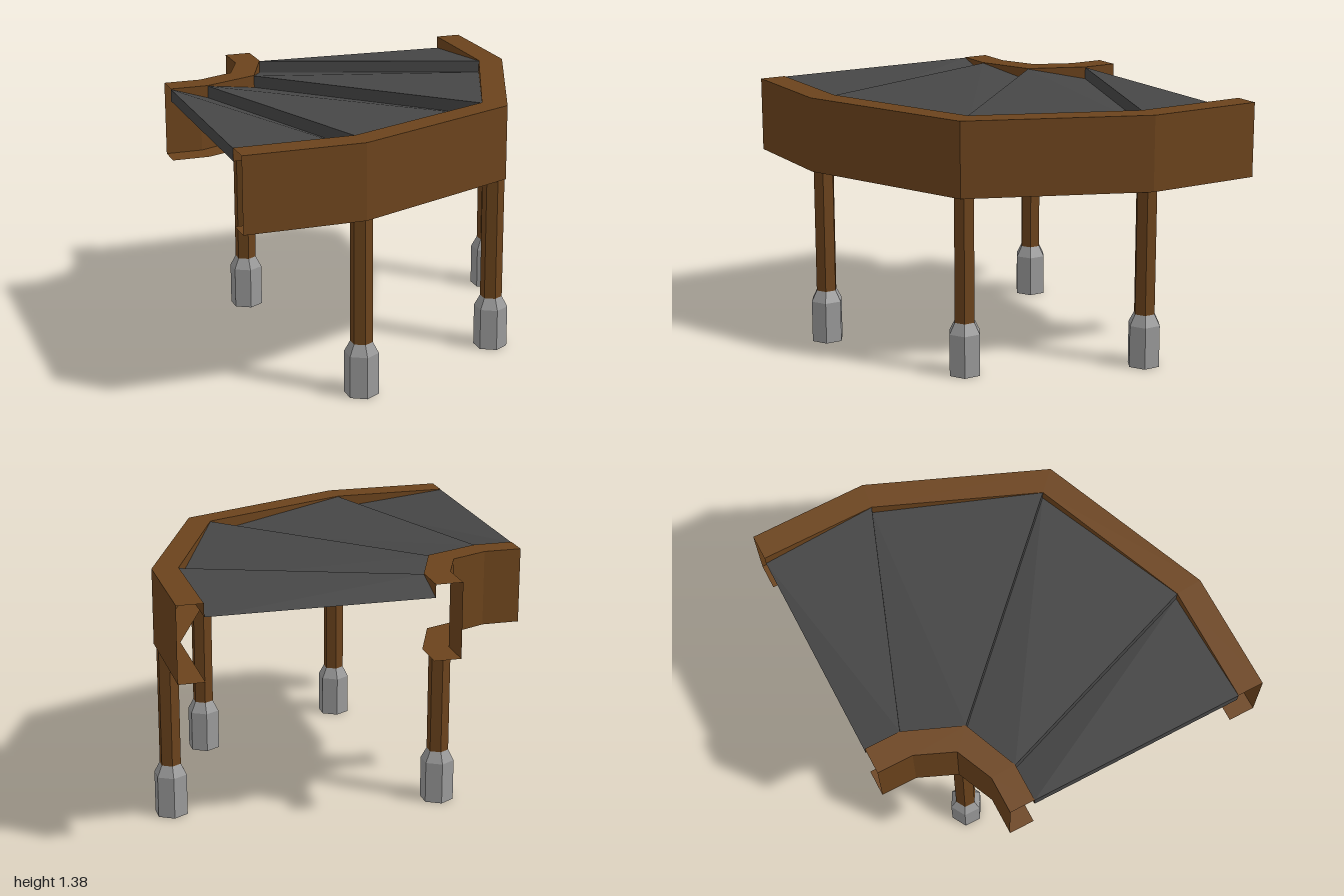
import * as THREE from 'three';

const TOP = 1.38, BOTTOM = 0.97, LOW = 1.31;

// plan outlines as [x, z], running from the -x end to the -z end
const OUTER_WEB = [[-1, 0.98], [-0.35, 0.98], [0.59, 0.59], [0.98, -0.35], [0.98, -1]];
const OUTER_RIM = [[-1, 0.835], [-0.36, 0.835], [0.487, 0.487], [0.84, -0.365], [0.84, -1]];
const INNER_WEB = [[-1, -0.5], [-0.795, -0.5], [-0.59, -0.59], [-0.5, -0.8], [-0.5, -1]];
const INNER_RIM = [[-1, -0.36], [-0.79, -0.36], [-0.485, -0.485], [-0.355, -0.8], [-0.355, -1]];

const material = (color) =>
  new THREE.MeshStandardMaterial({ color, flatShading: true, side: THREE.DoubleSide });
const wood = material(0x6b431c);
const slate = material(0x464646);
const concrete = material(0x999999);

// flat-shaded mesh from a list of four-cornered faces
function quadMesh(name, quads, mat) {
  const points = quads.flatMap(([a, b, c, d]) => [a, b, c, a, c, d]);
  const geometry = new THREE.BufferGeometry();
  geometry.setAttribute('position', new THREE.Float32BufferAttribute(points.flat(), 3));
  geometry.computeVertexNormals();
  const mesh = new THREE.Mesh(geometry, mat);
  mesh.name = name;
  return mesh;
}

const at = ([x, z], y) => [x, y, z];

// channel-shaped beam: lower flange, web, upper flange and short lip
function channel(name, web, rim, flip) {
  const section = [[rim, BOTTOM], [web, BOTTOM], [web, TOP], [rim, TOP], [rim, LOW]];
  const quads = [];
  for (let s = 0; s < section.length - 1; s++) {
    const [p, py] = section[s], [q, qy] = section[s + 1];
    for (let i = 0; i < web.length - 1; i++) {
      const quad = [at(p[i], py), at(p[i + 1], py), at(q[i + 1], qy), at(q[i], qy)];
      quads.push(flip ? quad.reverse() : quad);
    }
  }
  return quadMesh(name, quads, wood);
}

// hexagonal post on a tapered footing
function support(x, z) {
  const group = new THREE.Group();
  group.name = 'support';
  const add = (name, rTop, rBottom, y0, y1, mat) => {
    const mesh = new THREE.Mesh(
      new THREE.CylinderGeometry(rTop, rBottom, y1 - y0, 6, 1, true), mat);
    mesh.name = name;
    mesh.position.y = (y0 + y1) / 2;
    group.add(mesh);
  };
  add('post', 0.06, 0.06, 0.29, BOTTOM, wood);
  add('footingShoulder', 0.06, 0.092, 0.23, 0.29, concrete);
  add('footing', 0.092, 0.092, 0, 0.23, concrete);
  group.position.set(x, 0, z);
  return group;
}

export function createModel() {
  const model = new THREE.Group();
  model.name = 'curvedWalkway';

  model.add(channel('outerBeam', OUTER_WEB, OUTER_RIM, false));
  model.add(channel('innerBeam', INNER_WEB, INNER_RIM, true));

  // overlapping deck panels: each starts high with a lip and slopes to the next
  const high = TOP - 0.003;
  for (let i = 0; i < 4; i++) {
    const a = INNER_RIM[i], b = OUTER_RIM[i], c = OUTER_RIM[i + 1], d = INNER_RIM[i + 1];
    model.add(quadMesh('deckPanel', [
      [at(a, high), at(b, high), at(c, LOW), at(d, LOW)],
      [at(a, LOW), at(b, LOW), at(b, high), at(a, high)],
    ], slate));
  }

  for (const [x, z] of [[-0.54, -0.54], [0.54, 0.54], [0.91, -0.355], [-0.355, 0.91]]) {
    model.add(support(x, z));
  }
  return model;
}
